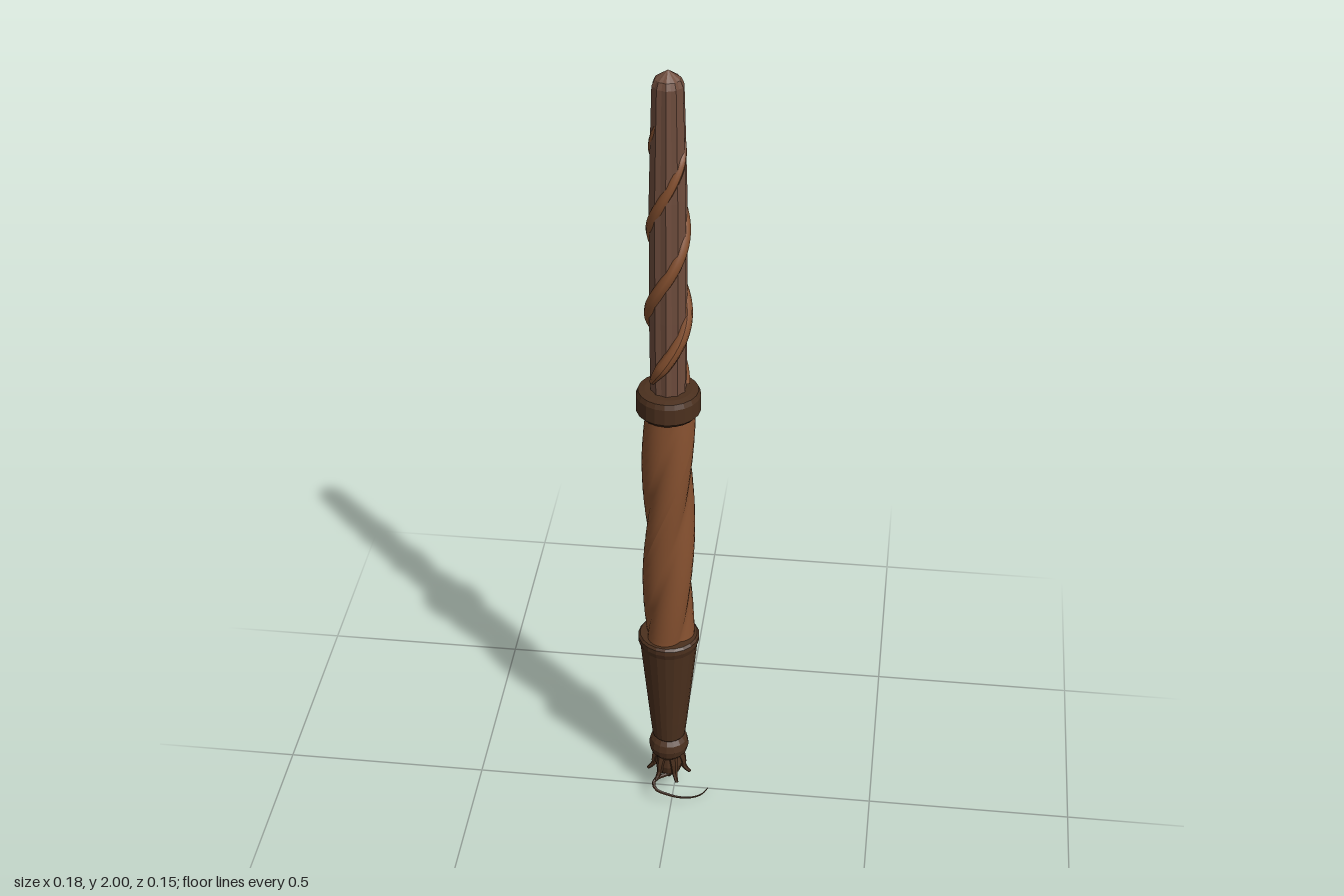
import * as THREE from 'three';

const AXIS_X = -0.013;
const TAU = Math.PI * 2;

const mat = (name, color, flatShading = false) => {
  const m = new THREE.MeshStandardMaterial({ color, flatShading });
  m.name = name;
  return m;
};

// Tube along a curve whose thickness follows radiusAt(t)
function taperedTube(curve, segments, sides, radiusAt) {
  const g = new THREE.TubeGeometry(curve, segments, 1, sides);
  const p = g.attributes.position, c = new THREE.Vector3(), v = new THREE.Vector3();
  for (let i = 0; i <= segments; i++) {
    curve.getPointAt(i / segments, c);
    for (let j = 0; j <= sides; j++) {
      const k = i * (sides + 1) + j;
      v.fromBufferAttribute(p, k).sub(c).multiplyScalar(radiusAt(i / segments)).add(c);
      p.setXYZ(k, v.x, v.y, v.z);
    }
  }
  g.computeVertexNormals();
  return g;
}

// Three fused strands twisted around the axis
function twistedGrip(y0, y1) {
  const g = new THREE.CylinderGeometry(1, 1, y1 - y0, 36, 40, true);
  g.translate(0, (y0 + y1) / 2, 0);
  const p = g.attributes.position;
  for (let i = 0; i < p.count; i++) {
    const a = Math.atan2(p.getX(i), p.getZ(i)), y = p.getY(i);
    const r = 0.049 + 0.014 * Math.abs(Math.cos(1.5 * a));
    const turned = a - Math.PI / 2 + (y - 0.64) * TAU / 1.0;
    p.setXYZ(i, r * Math.sin(turned), y, r * Math.cos(turned));
  }
  g.computeVertexNormals();
  return g;
}

export function createModel() {
  const model = new THREE.Group();
  const darkWood = mat('darkWood', 0x4b301e, true);
  const warmWood = mat('warmWood', 0x85502f);
  const paleWood = mat('paleWood', 0x6f4d3d, true);

  const shaft = new THREE.Group();
  shaft.name = 'shaft';
  shaft.position.x = AXIS_X;
  model.add(shaft);

  const add = (name, geometry, material, parent = shaft) => {
    const m = new THREE.Mesh(geometry, material);
    m.name = name;
    parent.add(m);
    return m;
  };
  const lathe = (points, sides) =>
    new THREE.LatheGeometry(points.map(([r, y]) => new THREE.Vector2(r, y)), sides);

  // Tapered handle with a lip at the top
  add('handle', lathe([[0.03, 0.17], [0.041, 0.185], [0.047, 0.24], [0.07, 0.47],
    [0.075, 0.485], [0.075, 0.497], [0.07, 0.503], [0, 0.503]], 20), darkWood);

  // Bead and pointed end below the handle
  add('pommelBead', lathe([[0, 0.1], [0.033, 0.115], [0.046, 0.132], [0.05, 0.15],
    [0.046, 0.168], [0.034, 0.184], [0, 0.184]], 16), darkWood);
  add('pommelEnd', lathe([[0, 0.03], [0.016, 0.052], [0.03, 0.065], [0.036, 0.09],
    [0.03, 0.12]], 12), darkWood);

  // Small root tips flaring out around the end
  const roots = new THREE.Group();
  roots.name = 'rootTips';
  shaft.add(roots);
  for (let i = 0; i < 6; i++) {
    const a = i / 6 * TAU + 0.5;
    const at = (r, y) => new THREE.Vector3(r * Math.sin(a), y, r * Math.cos(a));
    const curve = new THREE.CatmullRomCurve3([at(0.026, 0.125), at(0.036, 0.095),
      at(0.038, 0.075), at(0.054, 0.056)]);
    add('rootTip', taperedTube(curve, 6, 6, t => 0.013 - 0.009 * t), darkWood, roots);
  }

  // Thin curling rootlet
  const tail = new THREE.CatmullRomCurve3([[-0.01, 0.065, 0.025], [-0.045, 0.055, 0.045],
    [-0.04, 0.046, 0.066], [0, 0.035, 0.074], [0.025, 0.029, 0.072], [0.052, 0.021, 0.06],
    [0.075, 0.012, 0.035], [0.087, 0.003, 0]].map(q => new THREE.Vector3(...q)));
  add('curlingRootlet', taperedTube(tail, 20, 6, t => 0.0055 - 0.0045 * t), darkWood, model);

  // Twisted grip and collar
  add('twistedGrip', twistedGrip(0.5, 1.16), warmWood);
  add('collar', lathe([[0, 1.145], [0.066, 1.145], [0.075, 1.155], [0.075, 1.195],
    [0.07, 1.207], [0.055, 1.21], [0, 1.21]], 20), darkWood);

  // Fluted core with a blunt point
  const core = lathe([[0.04, 1.2], [0.042, 1.4], [0.041, 1.7], [0.037, 1.86],
    [0.034, 1.965], [0.028, 1.98], [0, 2.0]], 20);
  const p = core.attributes.position;
  for (let i = 0; i < p.count; i++) {
    const a = Math.atan2(p.getX(i), p.getZ(i)), s = 1 + 0.045 * Math.cos(10 * a);
    p.setXYZ(i, p.getX(i) * s, p.getY(i), p.getZ(i) * s);
  }
  add('core', core, paleWood);

  // Two vines climbing the core, thinning toward the top
  for (const [phase, start, end] of [[0, 1.215, 1.9], [Math.PI, 1.24, 1.87]]) {
    const points = [];
    for (let i = 0; i <= 40; i++) {
      const t = i / 40, y = start + (end - start) * t;
      const a = Math.PI + phase + (y - 1.3) * TAU / 0.42;
      const r = 0.043 - 0.011 * t;
      points.push(new THREE.Vector3(r * Math.sin(a), y, r * Math.cos(a)));
    }
    const vine = new THREE.CatmullRomCurve3(points);
    add('vine', taperedTube(vine, 90, 8,
      t => (0.017 - 0.006 * t) * Math.min(1, 0.4 + t * 8, 0.15 + (1 - t) * 7)), warmWood);
  }
  return model;
}
